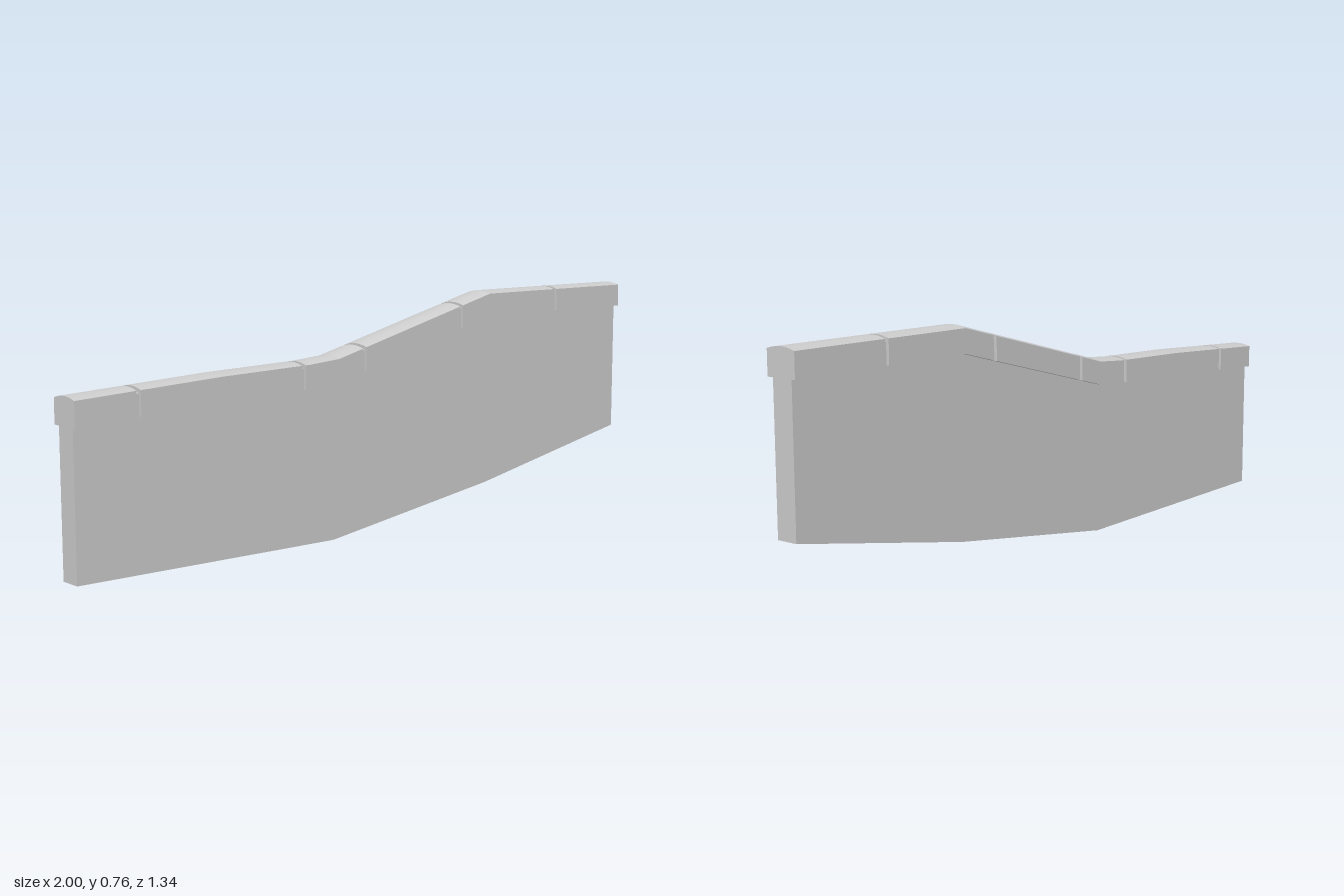
import * as THREE from 'three';

const ANGLE = Math.atan2(1.255, 1.947);
const STRETCH = 1 / Math.cos(ANGLE); // across-the-front x to distance along the wall
const END = 0.973;

// Profiles as [x, y]
const LEDGE = [[-END, 0.461], [-0.55, 0.486], [-0.27, 0.495], [-0.17, 0.504], [0.4, 0.676], [END, 0.677]];
const BASE = [[-0.97, 0.015], [-0.18, 0.002], [0.4, 0.1], [0.97, 0.23]];
const JOINTS = [-0.797, -0.29, -0.08, 0.285, 0.68];

function heightAt(x) {
  for (let i = 1; i < LEDGE.length; i++) {
    const [x0, y0] = LEDGE[i - 1], [x1, y1] = LEDGE[i];
    if (x <= x1 + 1e-6) return y0 + (y1 - y0) * (x - x0) / (x1 - x0);
  }
  return LEDGE[LEDGE.length - 1][1];
}

// Coping cross-section as [z, height]: straight sides and a low crowned top
function copingSection(inset) {
  const half = 0.053 - inset, side = 0.077 - inset, n = 6;
  const pts = [[-half, 0], [half, 0]];
  for (let i = 0; i <= n; i++) {
    const t = 1 - 2 * i / n;
    pts.push([half * t, side + 0.009 * (1 - t * t)]);
  }
  return pts;
}

// Sweep a section along the ledge between two positions, closing both ends
function sweep(section, from, to) {
  const xs = [from, ...LEDGE.map(p => p[0]).filter(x => x > from + 0.001 && x < to - 0.001), to];
  const rings = xs.map(x => section.map(([z, h]) => [x * STRETCH, heightAt(x) + h, z]));
  const pos = [], n = section.length;
  const tri = (a, b, c) => pos.push(...a, ...b, ...c);
  for (let r = 0; r < rings.length - 1; r++) {
    for (let i = 0; i < n; i++) {
      const j = (i + 1) % n, A = rings[r], B = rings[r + 1];
      tri(A[i], B[i], B[j]);
      tri(A[i], B[j], A[j]);
    }
  }
  const first = rings[0], last = rings[rings.length - 1];
  for (let i = 1; i < n - 1; i++) {
    tri(first[0], first[i], first[i + 1]);
    tri(last[0], last[i + 1], last[i]);
  }
  const geo = new THREE.BufferGeometry();
  geo.setAttribute('position', new THREE.Float32BufferAttribute(pos, 3));
  geo.computeVertexNormals();
  return geo;
}

export function createModel() {
  const model = new THREE.Group();
  model.name = 'gardenWall';
  const run = new THREE.Group();
  run.name = 'wallRun';
  run.rotation.y = ANGLE;
  model.add(run);
  const material = new THREE.MeshStandardMaterial({ color: 0xcccccc, side: THREE.DoubleSide });
  const add = (name, geo) => {
    const mesh = new THREE.Mesh(geo, material);
    mesh.name = name;
    run.add(mesh);
  };

  // Wall body, following the ground below and the ledge above
  const top = LEDGE.map(([x, y]) => [THREE.MathUtils.clamp(x, -0.97, 0.97), y + 0.005]).reverse();
  const outline = [...BASE, ...top].map(([x, y]) => new THREE.Vector2(x * STRETCH, y));
  const body = new THREE.ExtrudeGeometry(new THREE.Shape(outline), { depth: 0.072, bevelEnabled: false });
  body.translate(0, 0, -0.036);
  add('wallBody', body);

  // Coping stones, separated by narrow joints
  const gap = 0.006;
  const cuts = [-END - gap, ...JOINTS, END + gap];
  for (let i = 0; i < cuts.length - 1; i++) {
    add('copingStone' + (i + 1), sweep(copingSection(0), cuts[i] + gap, cuts[i + 1] - gap));
  }

  // Recessed mortar in each joint
  JOINTS.forEach((x, i) => add('mortarJoint' + (i + 1), sweep(copingSection(0.01), x - gap, x + gap)));

  return model;
}
